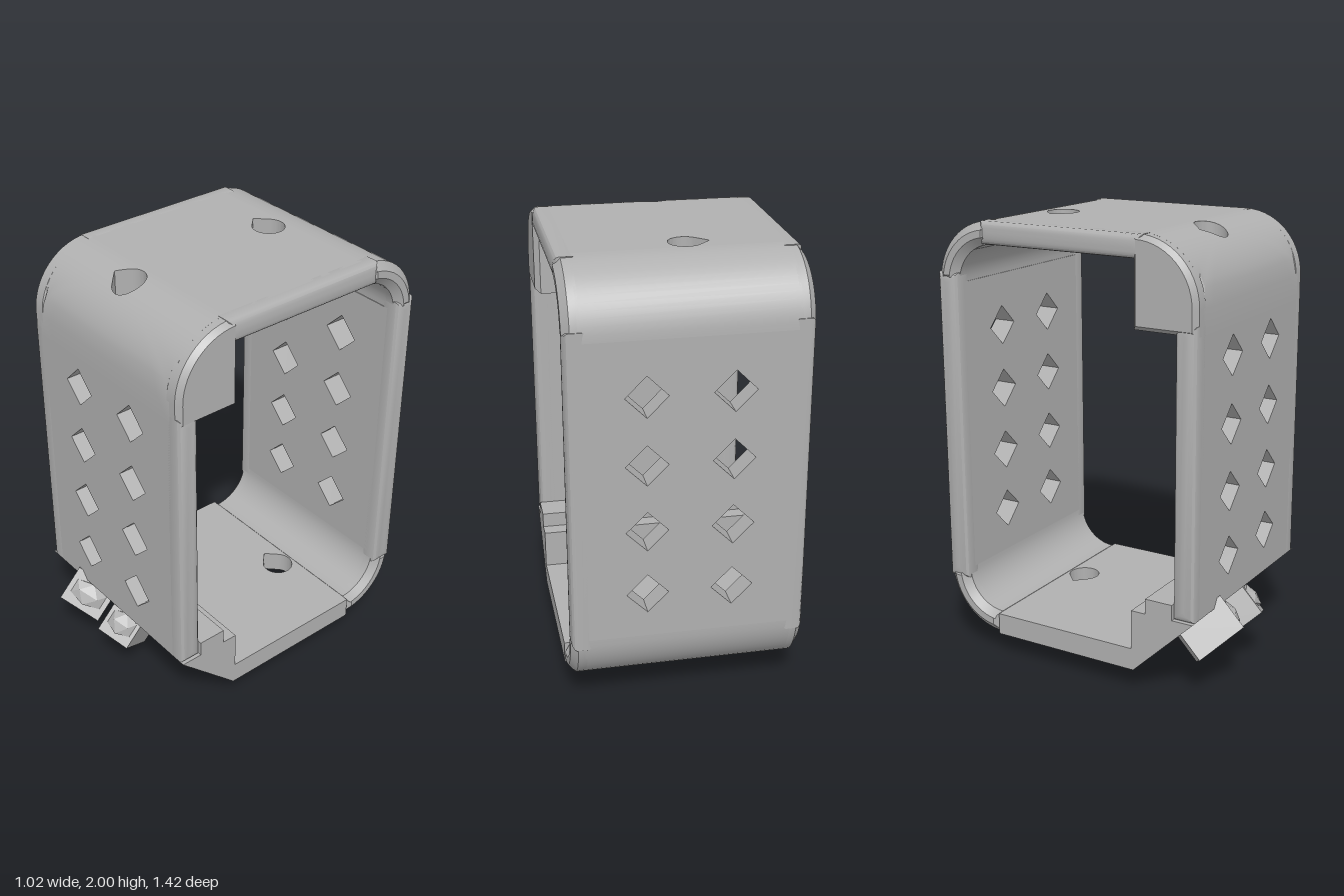
import * as THREE from 'three';
import { toCreasedNormals } from 'three/addons/utils/BufferGeometryUtils.js';

export function createModel() {
  const group = new THREE.Group();
  const grey = new THREE.MeshStandardMaterial({ color: 0xb0b0b0 });
  grey.name = 'plain grey';

  const add = (name, geometry, crease = 0.5) => {
    const mesh = new THREE.Mesh(toCreasedNormals(geometry, crease), grey);
    mesh.name = name;
    group.add(mesh);
    return mesh;
  };

  // Extrudes a (z, y) profile along x, centred on xc; bevels stay inside the profile
  const sideways = (name, pts, xc, width, size = 0, thick = 0, segs = 4) => {
    const shape = new THREE.Shape(pts.map(([z, y]) => new THREE.Vector2(z, y)));
    const depth = width - 2 * thick;
    const geo = new THREE.ExtrudeGeometry(shape, {
      depth, bevelEnabled: size > 0, bevelSize: size, bevelOffset: -size,
      bevelThickness: thick, bevelSegments: segs,
    });
    geo.translate(0, 0, -depth / 2).rotateY(-Math.PI / 2).translate(xc, 0, 0);
    return add(name, geo, segs === 1 ? 0.3 : 0.5);
  };
  const bar = (z0, y0, z1, y1) => [[z0, y0], [z1, y0], [z1, y1], [z0, y1]];
  const arc = (cz, cy, r, a0, a1, n = 14) => Array.from({ length: n + 1 }, (_, i) => {
    const a = a0 + (a1 - a0) * i / n;
    return [cz + r * Math.cos(a), cy + r * Math.sin(a)];
  });
  const PI = Math.PI, R = 0.28, ZC = -0.41, HX = 0.45;

  // Block with a vertical teardrop hole, lofted through loops of [hole radius, blend to rectangle, height rule]
  const N = 64;
  const bored = (name, z0, z1, hx, hz, loops) => {
    const pos = [], idx = [];
    for (const [r, k, y] of loops) {
      for (let j = 0; j < N; j++) {
        const a = j / N * 2 * PI, c = Math.cos(a), s = Math.sin(a);
        const d = Math.abs(a - PI);
        const rad = d < PI / 4 ? r / Math.cos(PI / 4 - d) : r;
        const m = Math.max(Math.abs(c), Math.abs(s));
        const x = THREE.MathUtils.lerp(hx + rad * c, HX * c / m, k);
        const z = THREE.MathUtils.lerp(hz + rad * s, (z0 + z1) / 2 + (z1 - z0) / 2 * s / m, k);
        pos.push(x, typeof y === 'function' ? y(z) : y, z);
      }
    }
    for (let i = 0; i < loops.length - 1; i++) {
      for (let j = 0; j < N; j++) {
        const a = i * N + j, b = i * N + (j + 1) % N;
        idx.push(a, b, a + N, b, b + N, a + N);
      }
    }
    const geo = new THREE.BufferGeometry();
    geo.setAttribute('position', new THREE.Float32BufferAttribute(pos, 3));
    geo.setIndex(idx);
    return add(name, geo);
  };
  const slab = (name, z0, z1, hx, hz, r, y0, y1) =>
    bored(name, z0, z1, hx, hz, [[r, 1, y0], [r, 0, y0], [r, 0, y1], [r, 1, y1], [r, 1, y0]]);
  const steps = Array.from({ length: 13 }, (_, i) => i / 12);

  // Top and bottom slabs
  const big = 0.072, small = 0.037, topX = -0.045, lowX = 0.091;
  slab('topSlab', ZC, 0.3, topX, -0.33, big, 1.9, 2);
  slab('bottomSlab', ZC, 0.3, lowX, -0.33, big, 0.1, 0.2);

  // Rounded upper front block with a counterbored hole
  const roundTop = z => (z > 0.32 ? 1.72 + Math.sqrt(Math.max(0, R * R - (z - 0.32) ** 2)) : 2);
  bored('upperFrontBlock', 0.3, 0.6, topX, 0.415, [
    [small, 1, 1.61], [small, 0, 1.61], [small, 0, 1.78], [big, 0, 1.78],
    ...steps.map(k => [big, k, roundTop]), [small, 1, 1.61],
  ]);

  // Chamfered lower front block and the ledge on it
  const chamfer = z => 0.1 + Math.max(0, z - 0.31) * 0.28 / 0.29;
  bored('lowerFrontBlock', 0.3, 0.6, lowX, 0.415, [
    ...steps.map(k => [big, 1 - k, chamfer]),
    [big, 0, 0.3], [small, 0, 0.3], [small, 0, 0.38], [small, 1, 0.38], [small, 1, chamfer],
  ]);
  slab('lowerLedge', 0.37, 0.5, lowX, 0.415, small, 0.38, 0.45);

  // Front and back plates with two columns of diamond holes
  const plate = (name, y0, y1, z, depth) => {
    const v = (x, y) => new THREE.Vector2(x, y);
    const shape = new THREE.Shape([v(-HX, y0), v(HX, y0), v(HX, y1), v(-HX, y1)]);
    for (const x of [-0.183, 0.18]) {
      for (const y of [0.585, 0.88, 1.18, 1.48]) {
        const h = 0.09;
        shape.holes.push(new THREE.Path([v(x - h, y), v(x, y + h), v(x + h, y), v(x, y - h)]));
      }
    }
    add(name, new THREE.ExtrudeGeometry(shape, { depth, bevelEnabled: false }).translate(0, 0, z));
  };
  plate('frontPlate', 0.38, 1.61, 0.5, 0.1);
  plate('backPlate', 0.38, 1.72, -0.69, 0.105);

  // Rounded back corners
  const topCorner = [...arc(ZC, 1.72, R, PI / 2, PI), ...arc(ZC, 1.72, 0.178, PI, PI / 2)];
  const lowCorner = [...arc(ZC, 0.38, R, PI, 1.5 * PI), ...arc(ZC, 0.38, 0.178, 1.5 * PI, PI)];
  sideways('upperBackCorner', topCorner, 0, 2 * HX);
  sideways('lowerBackCorner', lowCorner, 0, 2 * HX);

  // Side rims, softened along the walls and chamfered at the corners
  const e = 0.045;
  const frontTop = [[0.3, 1.61], [0.6, 1.61], ...arc(0.32, 1.72, R, 0, PI / 2), [0.3, 2]];
  const frontLow = [[0.31, 0.1], [0.6, 0.38], [0.5, 0.38], [0.5, 0.45],
    [0.37, 0.45], [0.37, 0.38], [0.3, 0.38], [0.3, 0.1]];
  for (const [side, x] of [['left', 0.46], ['right', -0.46]]) {
    sideways(side + 'BackRim', bar(-0.69, 0.38 - e, -0.585, 1.72 + e), x, 0.1, e, 0.025);
    sideways(side + 'TopRim', bar(ZC - e, 1.9, 0.3 + e, 2), x, 0.1, e, 0.025);
    sideways(side + 'FrontRim', bar(0.5, 0.38, 0.6, 1.61 + e), x, 0.1, e, 0.025);
    sideways(side + 'BottomRim', bar(ZC, 0.1, 0.3, 0.2), x, 0.1);
    sideways(side + 'UpperBackRim', topCorner, x, 0.1, 0.035, 0.03, 1);
    sideways(side + 'LowerBackRim', lowCorner, x, 0.1, 0.035, 0.03, 1);
    sideways(side + 'UpperFrontRim', frontTop, x, 0.1, 0.02, 0.025, 1);
    sideways(side + 'LowerFrontRim', frontLow, x, 0.1);
  }

  // Two skewed lugs on the chamfer, each with a rough faceted end
  const lug = (name, x, y, z, w, len, tilt) => {
    const g = new THREE.Group();
    g.name = name;
    const body = add(name + 'Body', new THREE.BoxGeometry(w, len, 0.17), 0.1);
    const end = add(name + 'End', new THREE.IcosahedronGeometry(1, 0).scale(w * 0.45, 0.03, 0.065), 0.1);
    end.position.y = len / 2;
    g.add(body, end);
    g.position.set(x, y, z);
    g.rotation.set(0.805, 0, -tilt);
    group.add(g);
  };
  lug('rightLug', -0.275, 0.26, 0.553, 0.21, 0.24, 0.72);
  lug('middleLug', -0.035, 0.195, 0.49, 0.163, 0.36, 0.51);

  return group;
}
